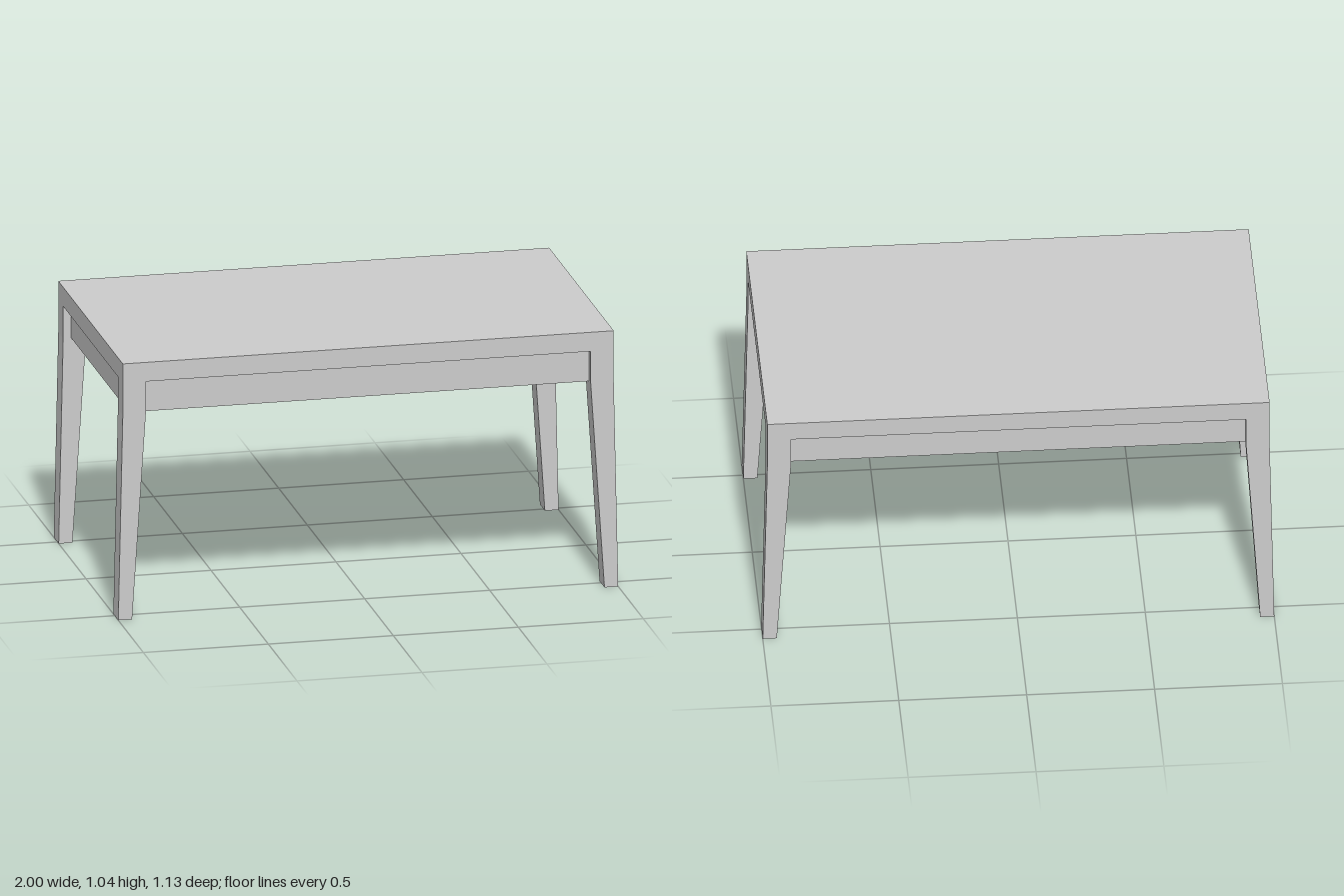
import * as THREE from 'three';

const material = new THREE.MeshStandardMaterial({ color: 0xcccccc, flatShading: true });

const HALF_X = 0.982, HALF_Z = 0.563;      // tabletop half size
const TOP = 1.045, UNDER = 0.967, APRON = 0.836; // heights
const LEG_IN_X = 0.89, LEG_Z = 0.086;      // inner leg face, leg depth
const RECESS = 0.032, THICK = 0.036;       // apron setback and board thickness

function box(name, w, h, d, x, y, z) {
  const mesh = new THREE.Mesh(new THREE.BoxGeometry(w, h, d), material);
  mesh.name = name;
  mesh.position.set(x, y, z);
  return mesh;
}

// Tapered leg profile, straight beside the apron and splayed outward below it
function legGeometry(side) {
  const points = [
    [0.945, 0], [1, 0], [HALF_X, APRON], [HALF_X, UNDER], [LEG_IN_X, UNDER], [LEG_IN_X, APRON],
  ].map(([x, y]) => new THREE.Vector2(side * x, y));
  return new THREE.ExtrudeGeometry(new THREE.Shape(points), { depth: LEG_Z, bevelEnabled: false });
}

export function createModel() {
  const table = new THREE.Group();
  table.name = 'table';

  table.add(box('tabletop', HALF_X * 2, TOP - UNDER, HALF_Z * 2, 0, (TOP + UNDER) / 2, 0));

  // Four legs flush with the tabletop edges
  for (const sx of [-1, 1]) {
    for (const sz of [-1, 1]) {
      const leg = new THREE.Mesh(legGeometry(sx), material);
      leg.name = (sz > 0 ? 'front' : 'back') + (sx > 0 ? 'Left' : 'Right') + 'Leg';
      leg.position.z = sz > 0 ? HALF_Z - LEG_Z : -HALF_Z;
      table.add(leg);
    }
  }

  // Recessed apron boards between the legs
  const h = UNDER - APRON, y = (UNDER + APRON) / 2;
  const inset = RECESS + THICK / 2;
  for (const s of [-1, 1]) {
    table.add(box(s > 0 ? 'frontApron' : 'backApron', LEG_IN_X * 2, h, THICK, 0, y, s * (HALF_Z - inset)));
    table.add(box(s > 0 ? 'leftApron' : 'rightApron', THICK, h, (HALF_Z - LEG_Z) * 2, s * (HALF_X - inset), y, 0));
  }

  return table;
}
